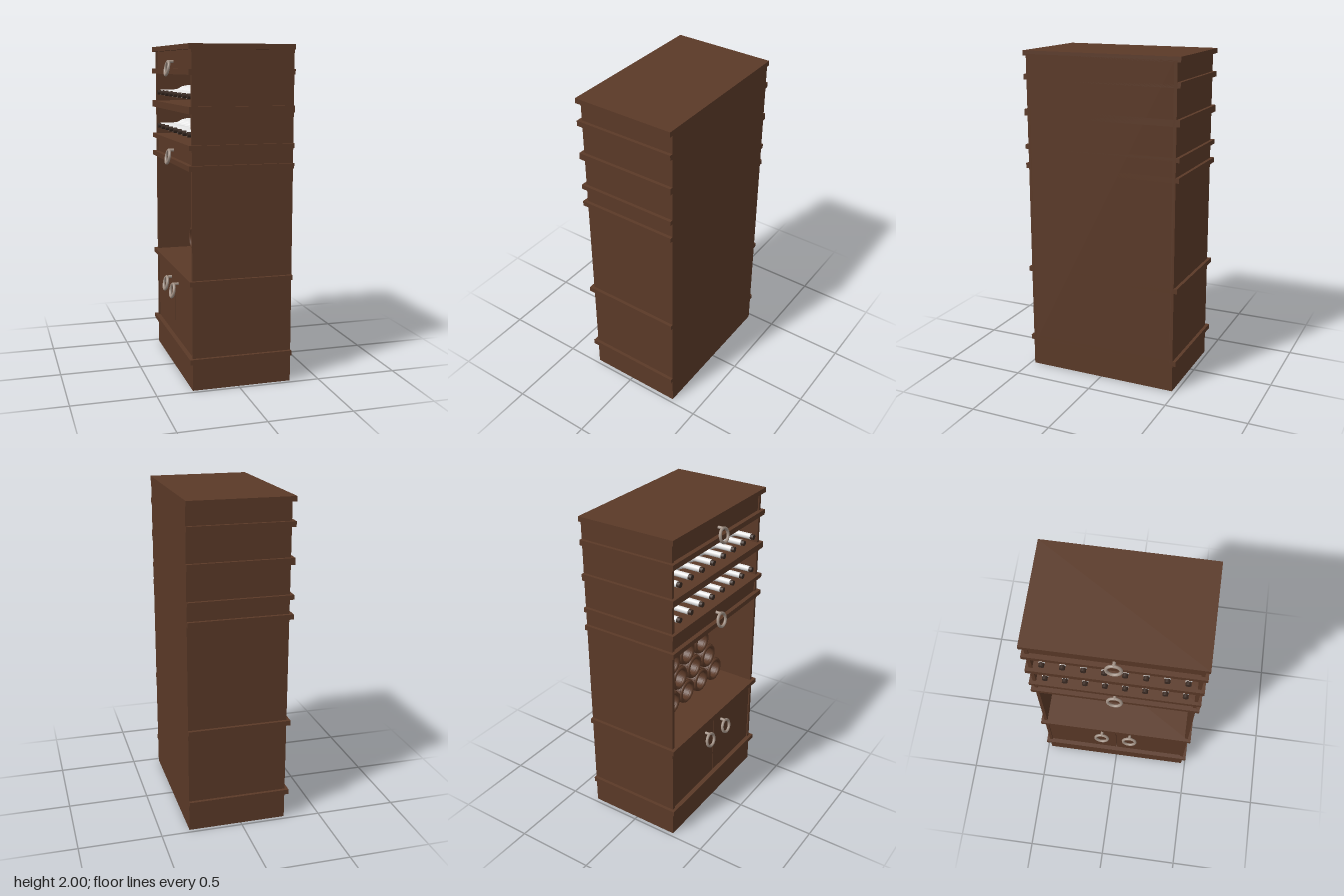
import * as THREE from 'three';

export function createModel() {
  const group = new THREE.Group();
  const mat = (name, color, side = THREE.FrontSide) => {
    const m = new THREE.MeshStandardMaterial({ color, side });
    m.name = name;
    return m;
  };
  const wood = mat('brown wood', 0x5a3927);
  const metal = mat('warm grey metal', 0xa09084);
  const white = mat('white bottle', 0xe4e4e4);
  const cork = mat('dark stopper', 0x3a2a22);

  const add = (name, geo, material, x = 0, y = 0, z = 0) => {
    const mesh = new THREE.Mesh(geo, material);
    mesh.name = name;
    mesh.position.set(x, y, z);
    group.add(mesh);
    return mesh;
  };
  // Box given by its limits on each axis
  const box = (name, x0, x1, y0, y1, z0, z1) =>
    add(name, new THREE.BoxGeometry(x1 - x0, y1 - y0, z1 - z0), wood,
      (x0 + x1) / 2, (y0 + y1) / 2, (z0 + z1) / 2);

  const FRONT = -0.28, BACK = 0.325, HALF = 0.475, WALL = 0.02;

  // Carcass: plinth, side walls and back panel; the open face looks towards -x
  box('plinth', FRONT, BACK, 0, 0.17, -HALF, HALF);
  for (const s of [-1, 1]) {
    const a = s * HALF, b = s * (HALF - WALL);
    box('sideWall', FRONT, BACK, 0.17, 1.98, Math.min(a, b), Math.max(a, b));
  }
  box('backPanel', BACK - WALL, BACK, 0.17, 1.98, -HALF + WALL, HALF - WALL);

  // Shelves that stick out as moulded edges
  for (const [y0, y1] of [[0.165, 0.195], [0.63, 0.66], [1.295, 1.325],
    [1.413, 1.44], [1.615, 1.655], [1.83, 1.862], [1.97, 2]]) {
    box('shelf', -0.3, BACK, y0, y1, -0.495, 0.495);
  }

  // Cupboard doors and drawer fronts, set slightly back
  box('cupboardDoor', -0.272, -0.25, 0.195, 0.63, -0.455, -0.003);
  box('cupboardDoor', -0.272, -0.25, 0.195, 0.63, 0.003, 0.455);
  box('doorBacking', -0.25, -0.24, 0.195, 0.63, -0.455, 0.455);
  box('drawerFront', -0.272, -0.25, 1.325, 1.413, -0.455, 0.455);
  box('drawerFront', -0.272, -0.25, 1.862, 1.97, -0.455, 0.455);

  // Ring pulls hanging from short posts
  const ringGeo = new THREE.TorusGeometry(0.041, 0.009, 10, 28).rotateY(Math.PI / 2);
  const postGeo = new THREE.CylinderGeometry(0.009, 0.009, 0.04, 12).rotateZ(Math.PI / 2);
  for (const [y, z] of [[1.865, 0], [1.33, 0], [0.51, -0.093], [0.51, 0.093]]) {
    add('ringPull', ringGeo, metal, -0.311, y, z).rotation.z = -0.2;
    add('ringPost', postGeo, metal, -0.288, y + 0.04, z);
  }

  // Bottles lying on the two racks, necks outwards
  const profile = [[0, 0], [0.042, 0], [0.045, 0.006], [0.045, 0.24], [0.038, 0.275],
    [0.02, 0.31], [0.018, 0.33], [0.018, 0.42], [0, 0.42]]
    .map(([r, h]) => new THREE.Vector2(r, h));
  const bottleGeo = new THREE.LatheGeometry(profile, 20).rotateZ(Math.PI / 2);
  const stopperGeo = new THREE.CylinderGeometry(0.016, 0.016, 0.03, 14).rotateZ(Math.PI / 2);
  for (const y of [1.495, 1.71]) {
    for (let i = 0; i < 8; i++) {
      const z = -0.4 + (i * 0.8) / 7;
      add('bottle', bottleGeo, white, 0.155, y, z);
      add('bottleStopper', stopperGeo, cork, -0.271, y, z);
    }
  }

  // Pyramid of open wooden tubes with rounded lips in the niche
  const R = 0.08, STEP = 0.165;
  const ring = new THREE.Shape().absarc(0, 0, R, 0, Math.PI * 2);
  ring.holes.push(new THREE.Path().absarc(0, 0, 0.058, 0, Math.PI * 2, true));
  const tubeGeo = new THREE.ExtrudeGeometry(ring, { depth: 0.37, bevelEnabled: false, curveSegments: 20 })
    .rotateY(Math.PI / 2);
  const lipGeo = new THREE.TorusGeometry(0.066, 0.012, 8, 28).rotateY(Math.PI / 2);
  for (let row = 0; row < 3; row++) {
    const count = 5 - row;
    for (let i = 0; i < count; i++) {
      const y = 0.66 + R + row * 0.143;
      const z = (i - (count - 1) / 2) * STEP;
      add('storageTube', tubeGeo, wood, -0.065, y, z);
      add('tubeLip', lipGeo, wood, -0.068, y, z);
    }
  }
  return group;
}
